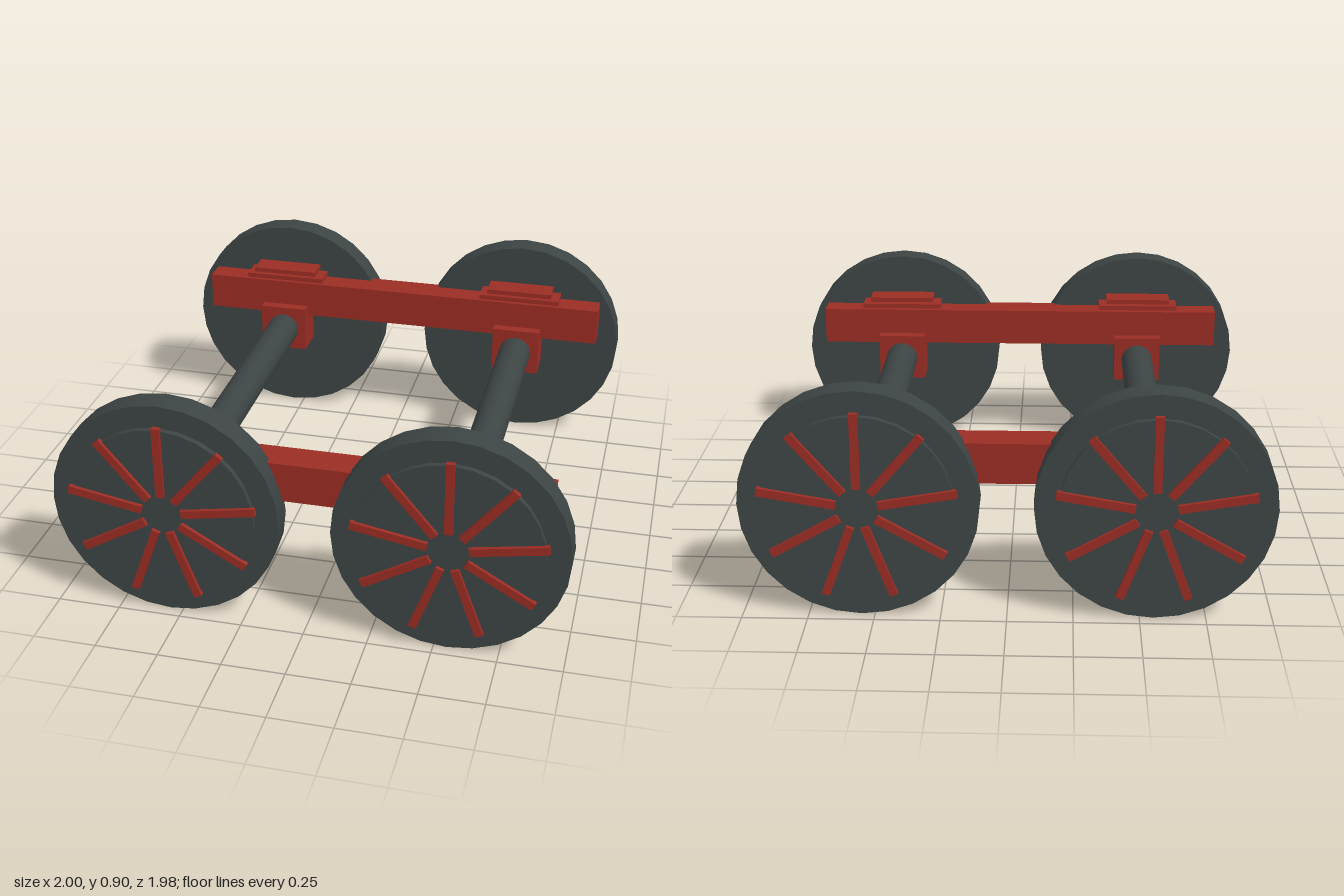
import * as THREE from 'three';

export function createModel() {
  const iron = new THREE.MeshStandardMaterial({ color: 0x3d4444 });
  iron.name = 'darkIron';
  const red = new THREE.MeshStandardMaterial({ color: 0x9b2d24 });
  red.name = 'redPaint';

  const AXLE_X = 0.55, AXLE_Y = 0.45;

  const add = (parent, name, geometry, material, x, y, z) => {
    const mesh = new THREE.Mesh(geometry, material);
    mesh.name = name;
    mesh.position.set(x, y, z);
    parent.add(mesh);
    return mesh;
  };
  const box = (w, h, d) => new THREE.BoxGeometry(w, h, d);
  // cylinder lying along z
  const disc = (r, depth, sides) => new THREE.CylinderGeometry(r, r, depth, sides).rotateX(Math.PI / 2);

  // Wheel with raised face and nine spokes, facing +z
  function makeWheel() {
    const wheel = new THREE.Group();
    wheel.name = 'wheel';
    add(wheel, 'rim', disc(0.45, 0.105, 28), iron, 0, 0, 0.9);
    add(wheel, 'wheelFace', disc(0.36, 0.03, 28), iron, 0, 0, 0.96);
    for (let i = 0; i < 9; i++) {
      const angle = (i * Math.PI * 2) / 9;
      const geometry = box(0.032, 0.295, 0.02).translate(0, 0.227, 0).rotateZ(angle);
      add(wheel, 'spoke', geometry, red, 0, 0, 0.98);
    }
    return wheel;
  }

  // One side of the truck: beam, axle boxes, leaf springs and wheels
  function makeSide() {
    const side = new THREE.Group();
    side.name = 'sideFrame';
    add(side, 'beam', box(1.82, 0.16, 0.13), red, 0, 0.59, 0.81);
    for (const x of [-AXLE_X, AXLE_X]) {
      add(side, 'axleBox', box(0.21, 0.205, 0.15), red, x, 0.4525, 0.775);
      add(side, 'lowerSpringLeaf', box(0.36, 0.02, 0.13), red, x, 0.688, 0.81);
      add(side, 'upperSpringLeaf', box(0.29, 0.02, 0.13), red, x, 0.718, 0.81);
      const wheel = makeWheel();
      wheel.position.set(x, AXLE_Y, 0);
      side.add(wheel);
    }
    return side;
  }

  const model = new THREE.Group();
  model.name = 'wheelTruck';
  for (const turn of [0, Math.PI]) {
    const side = makeSide();
    side.rotation.y = turn;
    model.add(side);
  }
  for (const x of [-AXLE_X, AXLE_X]) {
    add(model, 'axle', disc(0.071, 1.7, 24), iron, x, AXLE_Y, 0);
  }
  return model;
}
